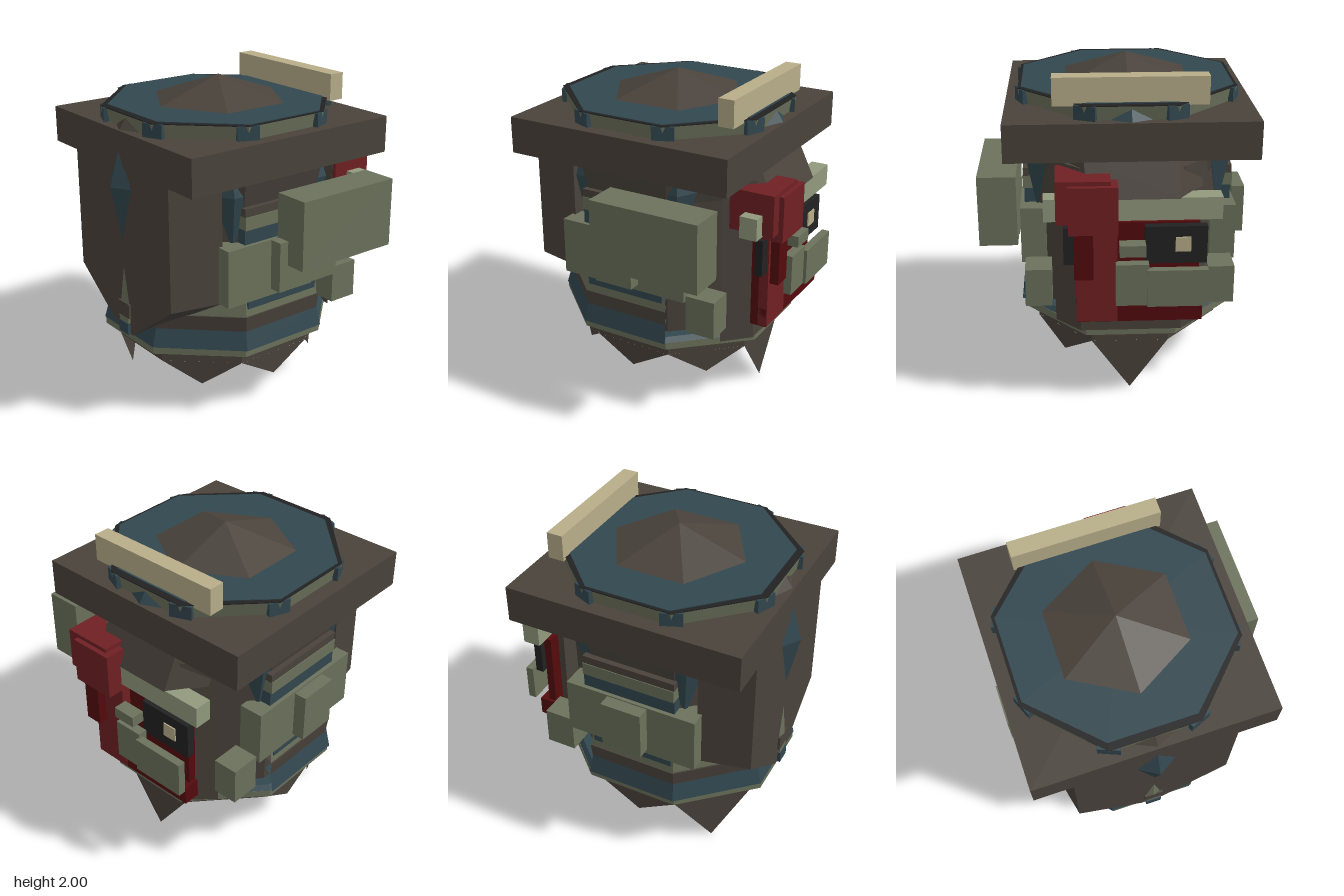
import * as THREE from 'three';

const mat = (name, color) => new THREE.MeshStandardMaterial({ name, color, flatShading: true, side: THREE.DoubleSide });
const CX = -0.067, CZ = 0.06; // axis of the octagonal body

export function createModel() {
  const brown = mat('darkBrown', 0x4a433c), olive = mat('olive', 0x6c725c), light = mat('lightOlive', 0x929a7d);
  const blue = mat('slateBlue', 0x32474f), tan = mat('tan', 0xb8ae8a), red = mat('red', 0x702023);
  const deepRed = mat('deepRed', 0x540a0d), black = mat('black', 0x222222);

  const model = new THREE.Group();
  model.name = 'model';
  const add = (name, geo, m, x = 0, y = 0, z = 0) => {
    const mesh = new THREE.Mesh(geo, m);
    mesh.name = name;
    mesh.position.set(x, y, z);
    model.add(mesh);
    return mesh;
  };
  // box given by its limits on each axis
  const box = (name, m, x0, x1, y0, y1, z0, z1) =>
    add(name, new THREE.BoxGeometry(x1 - x0, y1 - y0, z1 - z0), m, (x0 + x1) / 2, (y0 + y1) / 2, (z0 + z1) / 2);
  // octagon with a flat front, given by half widths; sides = 5 leaves the back open
  const octagon = (name, m, y0, y1, a0, a1, az = 1.1, sides = 8) => {
    const k = Math.cos(Math.PI / 8);
    const g = new THREE.CylinderGeometry(a1 / k, a0 / k, y1 - y0, sides, 1, false, -5 * Math.PI / 8, sides * Math.PI / 4);
    g.scale(1, 1, az);
    return add(name, g, m, CX, (y0 + y1) / 2, CZ);
  };
  // slab with chamfered back corners; the top edge can lean forward
  const chamfered = (name, m, half, flat, z0, z1, y0, y1, lean = 0) => {
    const shape = new THREE.Shape([[-half, -z0], [half, -z0], [flat, -z1], [-flat, -z1]].map(v => new THREE.Vector2(...v)));
    const g = new THREE.ExtrudeGeometry(shape, { depth: y1 - y0, bevelEnabled: false });
    g.rotateX(-Math.PI / 2);
    const q = g.attributes.position;
    for (let i = 0; i < q.count; i++) if (q.getY(i) > 0.01) q.setZ(i, q.getZ(i) + lean);
    g.computeVertexNormals();
    return add(name, g, m, CX, y0, 0);
  };

  // body core and lower bands
  octagon('base', brown, 0.335, 0.45, 0.565, 0.565);
  octagon('core', brown, 0.43, 1.56, 0.565, 0.6);
  octagon('collar', brown, 1.36, 1.55, 0.6, 0.64);
  octagon('lowerRim', olive, 0.425, 0.472, 0.65, 0.65, 1.09);
  octagon('blueBand', blue, 0.47, 0.585, 0.665, 0.635, 1.07, 5);
  octagon('brownBand', brown, 0.585, 0.68, 0.635, 0.645, 1.07, 5);
  octagon('oliveBand', olive, 0.68, 0.79, 0.635, 0.625, 1.07, 5);
  octagon('backRim', blue, 0.47, 0.5, 0.655, 0.63, 1.07);

  // hanging flat triangles on the octagon sides: side index from the front, tip height
  const spikes = [[1, 0.18], [2, 0.18], [3, 0.18], [4, 0], [6, 0.18], [7, 0]];
  for (const [i, tip] of spikes) {
    const corner = (t) => [CX + 0.612 * Math.sin(t), 0.335, CZ + 0.673 * Math.cos(t)];
    const a = corner((i - 0.5) * Math.PI / 4), b = corner((i + 0.5) * Math.PI / 4);
    const g = new THREE.BufferGeometry();
    g.setAttribute('position', new THREE.Float32BufferAttribute(
      [...a, (a[0] + b[0]) / 2, tip + 0.004, (a[2] + b[2]) / 2, ...b], 3));
    g.computeVertexNormals();
    add('hangingSpike', g, brown);
  }

  // shield-shaped front plate, widening towards its back edge
  const outline = [[-0.495, 1.54], [-0.495, 0.78], [-0.075, 0.475], [0.075, 0.475], [0.495, 0.78], [0.495, 1.54]];
  const plate = new THREE.ExtrudeGeometry(new THREE.Shape(outline.map(p => new THREE.Vector2(...p))),
    { depth: 0.32, bevelEnabled: false });
  const p = plate.attributes.position;
  for (let i = 0; i < p.count; i++) {
    if (p.getZ(i) > 0.1) continue;
    if (Math.abs(p.getX(i)) > 0.4) p.setX(i, Math.sign(p.getX(i)) * 0.565);
    p.setY(i, Math.max(p.getY(i), 0.78));
  }
  plate.computeVertexNormals();
  add('frontPlate', plate, brown, CX, 0, 0.465);

  // blue diamonds around the upper body
  for (let i = 0; i < 6; i++) {
    const g = new THREE.OctahedronGeometry(1);
    g.scale(0.115, 0.23, 0.07);
    const q = g.attributes.position;
    for (let j = 0; j < q.count; j++) if (q.getY(j) < -0.01) q.setY(j, -0.34);
    const t = i * Math.PI / 3, r = i === 0 ? 0.725 : 0.635;
    add('diamond', g, blue, CX + r * Math.sin(t), 1.43, CZ + r * Math.cos(t)).rotation.y = t;
  }
  // banded buckle and thorn at the foot of the front plate
  box('buckleBlue', blue, -0.115, -0.015, 0.475, 0.55, 0.74, 0.805);
  box('buckleOlive', olive, -0.115, -0.015, 0.55, 0.585, 0.74, 0.8);
  box('buckleBrown', brown, -0.125, -0.005, 0.585, 0.68, 0.74, 0.8);
  add('frontThorn', new THREE.ConeGeometry(0.045, 0.23, 4), olive, CX, 0.795, 0.785).scale.z = 0.4;

  // square brim and cap
  box('brim', brown, -0.8, 0.66, 1.54, 1.765, -0.67, 0.79);
  octagon('capWall', olive, 1.75, 1.848, 0.635, 0.65, 1.04);
  octagon('capRim', black, 1.846, 1.851, 0.65, 0.65, 1.04);
  octagon('capTop', blue, 1.85, 1.855, 0.632, 0.632, 1);
  for (let i = 0; i < 8; i++) {
    const t = (i + 0.5) * Math.PI / 4;
    add('capCorner', new THREE.BoxGeometry(0.13, 0.084, 0.03), blue,
      CX + 0.682 * Math.sin(t), 1.806, CZ + 0.71 * Math.cos(t)).rotation.y = t;
  }
  for (const s of [1, -1])
    add('capPeak', new THREE.ConeGeometry(0.13, 0.085, 4), s > 0 ? brown : blue, CX, 1.805, CZ + s * 0.66).scale.z = 0.45;
  add('crown', new THREE.ConeGeometry(0.43, 0.145, 6), brown, CX, 1.926, CZ);
  box('topBar', tan, -0.51, 0.38, 1.835, 2, -0.56, -0.46);

  // striped side panels and armour blocks, mirrored
  for (const s of [1, -1]) {
    const side = (name, m, a, b, y0, y1, z0, z1) =>
      box(name, m, ...(s > 0 ? [CX + a, CX + b] : [CX - b, CX - a]), y0, y1, z0, z1);
    side('sideBlueStripe', blue, 0.55, 0.64, 0.73, 0.78, -0.2, 0.33);
    side('sideBlock', olive, 0.5, 0.655, 0.785, 1.14, -0.36, 0.49);
    side('sideBluePanel', blue, 0.5, 0.63, 1.14, 1.23, -0.25, 0.35);
    side('sideOlivePanel', olive, 0.5, 0.64, 1.23, 1.31, -0.25, 0.35);
    side('sideTrim', brown, 0.5, 0.635, 1.31, 1.36, -0.25, 0.35);
    side('rearBlock', olive, 0.47, 0.63, 0.58, 0.82, -0.55, -0.36);
  }
  box('leftLargeBox', olive, 0.595, 0.82, 1, 1.425, -0.58, 0.13);
  box('leftSmallBox', olive, 0.61, 0.69, 0.84, 1.15, -0.06, 0.19);
  box('rightSmallBox', olive, -0.82, -0.74, 0.84, 1.15, -0.07, 0.19);

  // back plates
  chamfered('backPlate', brown, 0.45, 0.3, -0.5, -0.65, 0.46, 1.5);
  chamfered('backFlare', brown, 0.42, 0.27, -0.55, -0.755, 1.345, 1.55, 0.1);

  // red machinery on the back
  box('redBase', deepRed, -0.48, 0.26, 0.57, 0.69, -0.745, -0.64);
  box('redColumn', red, 0.02, 0.26, 0.575, 1.25, -0.75, -0.69);
  box('redPanel', deepRed, -0.46, 0.26, 0.68, 1.18, -0.69, -0.64);
  box('redHead', red, 0.06, 0.37, 1.225, 1.48, -0.82, -0.54);
  box('redVisor', red, 0.02, 0.3, 1.17, 1.455, -0.85, -0.72);
  box('redArm', deepRed, 0.16, 0.27, 0.88, 1.18, -0.82, -0.765);
  box('blackSidePanel', black, 0.24, 0.33, 0.94, 1.17, -0.74, -0.69);
  box('blackScreen', black, -0.5, -0.14, 0.94, 1.17, -0.74, -0.69);
  box('screenLight', tan, -0.405, -0.315, 1.015, 1.105, -0.748, -0.739);
  box('backBar', light, -0.58, 0.44, 1.215, 1.35, -0.75, -0.64);
  box('backGuard', olive, -0.5, -0.15, 0.7, 0.93, -0.82, -0.77);
  box('guardMount', olive, -0.16, 0.03, 0.7, 0.96, -0.8, -0.74);
  box('guardKnob', olive, -0.14, 0.01, 1.02, 1.09, -0.825, -0.74);
  return model;
}
